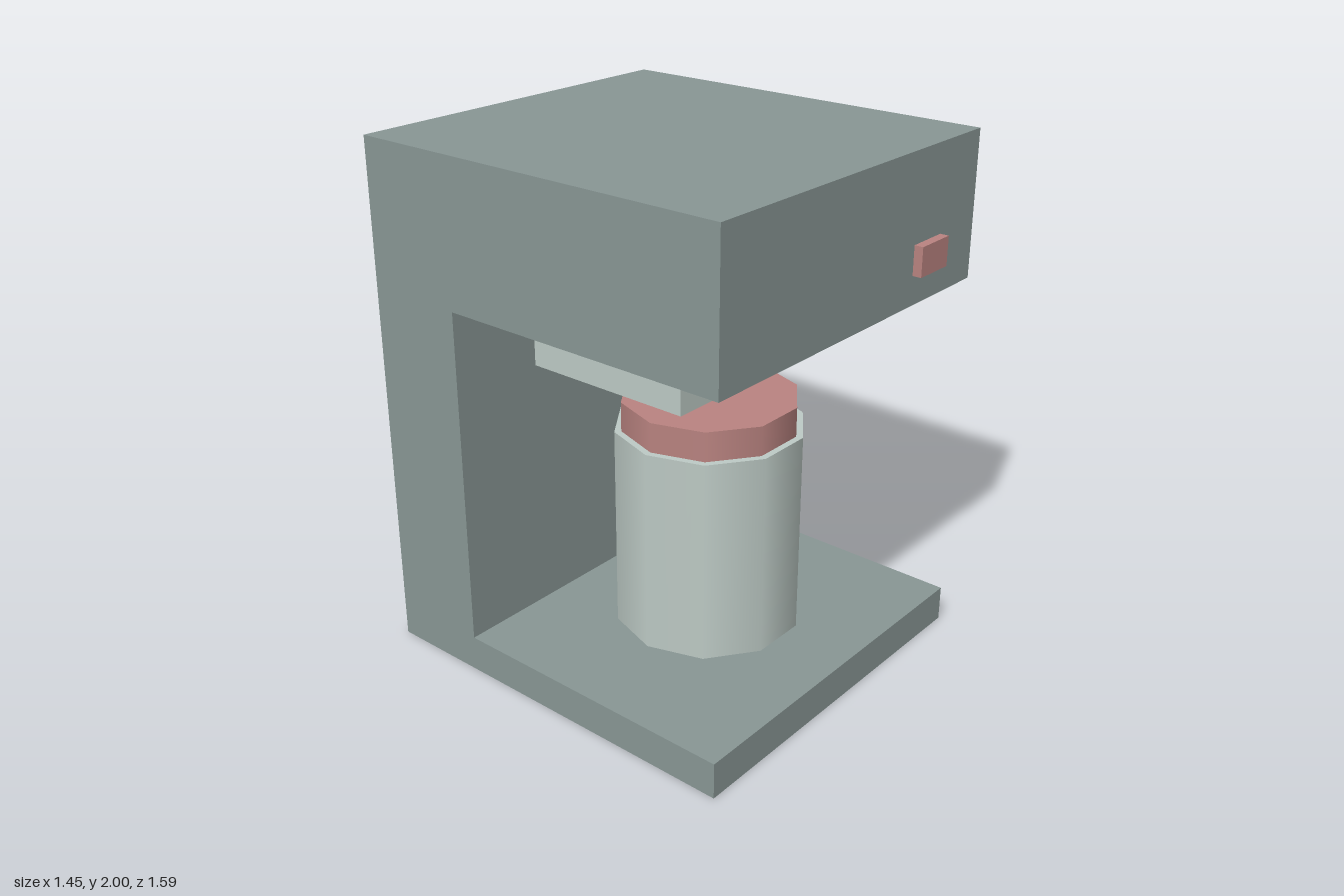
import * as THREE from 'three';

export function createModel() {
  const model = new THREE.Group();
  model.name = 'coffeeMachine';

  const material = (name, color) => {
    const m = new THREE.MeshStandardMaterial({ color });
    m.name = name;
    return m;
  };
  const bodyGrey = material('bodyGrey', 0x889694);
  const paleGrey = material('paleGrey', 0xbdcac5);
  const dustyRed = material('dustyRed', 0xb98380);

  const add = (name, geometry, mat) => {
    const mesh = new THREE.Mesh(geometry, mat);
    mesh.name = name;
    model.add(mesh);
    return mesh;
  };

  // Box given by its limits on each axis
  const box = (name, [x0, x1], [y0, y1], [z0, z1], mat) =>
    add(name, new THREE.BoxGeometry(x1 - x0, y1 - y0, z1 - z0), mat)
      .position.set((x0 + x1) / 2, (y0 + y1) / 2, (z0 + z1) / 2);

  // Ten-sided upright cylinder with corners on the x axis
  const drum = (name, radius, y0, y1, mat) =>
    add(name, new THREE.CylinderGeometry(radius, radius, y1 - y0, 10).rotateY(Math.PI / 2), mat)
      .position.set(0, (y0 + y1) / 2, 0.15);

  // C-shaped housing: side profile (z, y) extruded across the width
  const width = 1.445, front = 0.762, back = -0.796, column = -0.4;
  const profile = new THREE.Shape([
    [back, 0], [front, 0], [front, 0.14], [column, 0.14],
    [column, 1.45], [front, 1.45], [front, 2], [back, 2],
  ].map(([z, y]) => new THREE.Vector2(-z, y)));
  const housing = new THREE.ExtrudeGeometry(profile, { depth: width, bevelEnabled: false });
  housing.translate(0, 0, -width / 2).rotateY(Math.PI / 2);
  add('housing', housing, bodyGrey);

  // Brew head under the top, and the front button
  box('brewHead', [-0.5, 0.5], [1.228, 1.45], [-0.235, 0.43], paleGrey);
  box('button', [0.333, 0.5], [1.56, 1.67], [0.75, 0.796], dustyRed);

  // Jug with lid and handle
  drum('jug', 0.358, 0.153, 0.946, paleGrey);
  drum('jugLid', 0.332, 0.946, 1.06, dustyRed);
  box('jugHandle', [0.343, 0.407], [0.337, 0.838], [0.105, 0.2], bodyGrey);

  return model;
}
